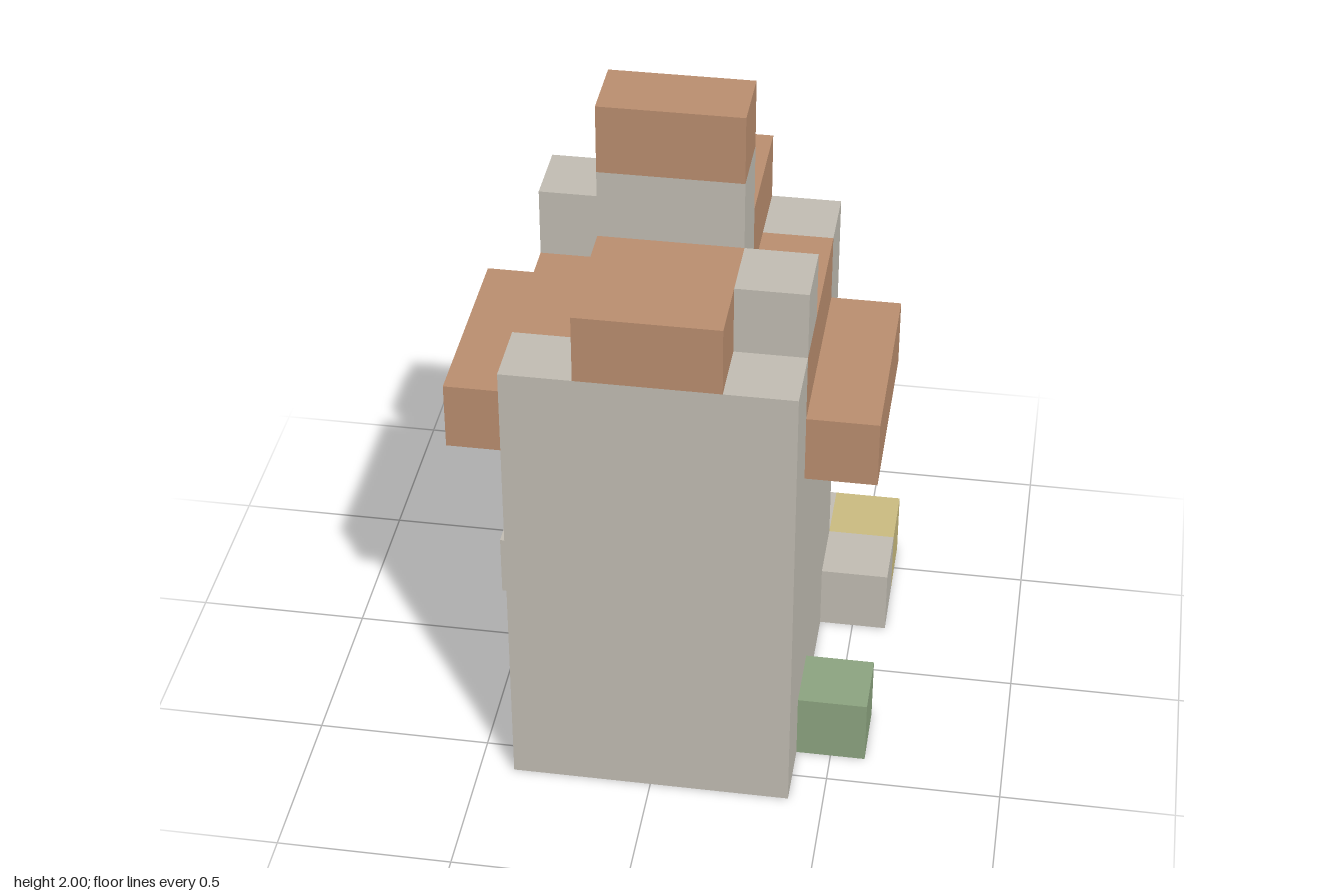
import * as THREE from 'three';

const UNIT = 0.2;

function makeMaterial(name, color) {
  const m = new THREE.MeshStandardMaterial({ color, side: THREE.DoubleSide });
  m.name = name;
  return m;
}

export function createModel() {
  const stone = makeMaterial('stone', 0xc0bbb1);
  const clay = makeMaterial('clay', 0xb98d6e);
  const green = makeMaterial('leafGreen', 0x8ba37f);
  const yellow = makeMaterial('straw', 0xc9ba7f);
  const brown = makeMaterial('wood', 0x89725f);

  // Each part fills blocks [x0, x1, y0, y1, z0, z1]; later parts replace earlier ones.
  const parts = [
    ['tower', stone, [-2, 2, 0, 7, -2, 3]],
    ['doorway', null, [0, 1, 1, 2, -2, -1]],
    ['leftRoofEdge', clay, [1, 2, 6, 7, -1, 2]],
    ['rightRoofEdge', clay, [-2, -1, 6, 7, -1, 2]],
    ['leftEave', clay, [2, 3, 5, 6, -1, 2]],
    ['rightEave', clay, [-3, -2, 5, 6, -1, 2]],
    ['frontRidge', clay, [-1, 1, 7, 8, 1, 3]],
    ['backRidge', clay, [-1, 1, 7, 8, -2, 0]],
    ['leftRoofBlock', stone, [1, 2, 7, 8, 1, 2]],
    ['rightRoofBlock', stone, [-2, -1, 7, 8, -1, 0]],
    ['turret', stone, [-1, 1, 7, 9, 0, 1]],
    ['turretCap', clay, [-1, 1, 9, 10, 0, 1]],
    ['backStep', stone, [-1, 2, 0, 1, -3, -2]],
    ['crate', brown, [-2, -1, 0, 1, -3, -2]],
    ['backBush', green, [-3, -2, 0, 1, -3, -2]],
    ['hayBlock', yellow, [2, 3, 0, 1, -3, -2]],
    ['leftStep', stone, [2, 3, 0, 1, -2, -1]],
    ['rightStep', stone, [-3, -2, 0, 1, -2, -1]],
    ['sideBush', green, [2, 3, 0, 1, 1, 2]],
  ];

  // Fill the block grid
  const cells = new Map();
  for (const part of parts) {
    const [x0, x1, y0, y1, z0, z1] = part[2];
    for (let x = x0; x < x1; x++)
      for (let y = y0; y < y1; y++)
        for (let z = z0; z < z1; z++) {
          const key = [x, y, z].join();
          if (part[1]) cells.set(key, { part, at: [x, y, z] });
          else cells.delete(key);
        }
  }

  // Square block face on the given axis and side
  function addFace(out, at, axis, side) {
    const u = (axis + 1) % 3, v = (axis + 2) % 3;
    const corners = [[0, 0], [1, 0], [1, 1], [0, 1]].map(([a, b]) => {
      const p = [...at];
      p[axis] += side > 0 ? 1 : 0;
      p[u] += a;
      p[v] += b;
      return p.map((c) => c * UNIT);
    });
    if (side < 0) corners.reverse();
    for (const i of [0, 1, 2, 0, 2, 3]) out.push(...corners[i]);
  }

  // Only the open sides of blocks get faces; undersides stay open
  const group = new THREE.Group();
  group.name = 'blockTower';
  for (const part of parts) {
    const positions = [];
    for (const cell of cells.values()) {
      if (cell.part !== part) continue;
      for (let axis = 0; axis < 3; axis++)
        for (const side of [-1, 1]) {
          if (axis === 1 && side < 0) continue;
          const next = [...cell.at];
          next[axis] += side;
          if (!cells.has(next.join())) addFace(positions, cell.at, axis, side);
        }
    }
    if (!positions.length) continue;
    const geometry = new THREE.BufferGeometry();
    geometry.setAttribute('position', new THREE.Float32BufferAttribute(positions, 3));
    geometry.computeVertexNormals();
    const mesh = new THREE.Mesh(geometry, part[1]);
    mesh.name = part[0];
    group.add(mesh);
  }
  return group;
}
